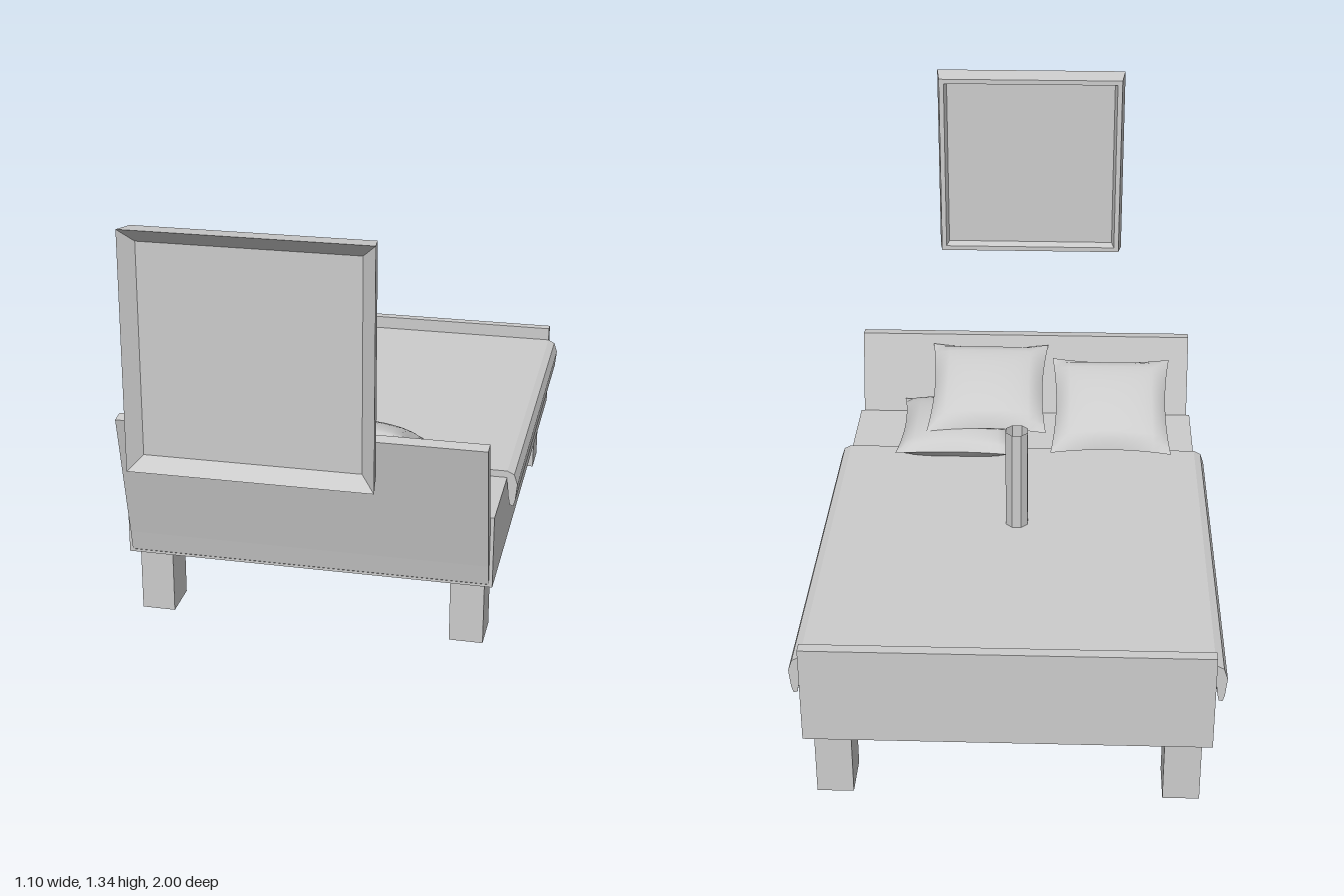
import * as THREE from 'three';

const smooth = new THREE.MeshStandardMaterial({ color: 0xcccccc, side: THREE.DoubleSide });
const flat = new THREE.MeshStandardMaterial({ color: 0xcccccc, side: THREE.DoubleSide, flatShading: true });

// Extrudes a (z, y) side profile along x, centred
function sideExtrude(points, width) {
  const shape = new THREE.Shape(points.map(([z, y]) => new THREE.Vector2(-z, y)));
  return new THREE.ExtrudeGeometry(shape, { depth: width, bevelEnabled: false })
    .translate(0, 0, -width / 2).rotateY(Math.PI / 2);
}

// One domed half of a cushion with pinched edges and pointed corners
function cushionHalf(half, height) {
  const geo = new THREE.PlaneGeometry(2, 2, 14, 14).rotateX(-Math.PI / 2);
  const p = geo.attributes.position;
  for (let i = 0; i < p.count; i++) {
    const u = p.getX(i), v = p.getZ(i);
    const a = Math.max(0, 1 - u * u), b = Math.max(0, 1 - v * v);
    p.setXYZ(i, half * u * (1 - 0.08 * b * u * u), height * Math.pow(a * b, 0.45), half * v * (1 - 0.08 * a * v * v));
  }
  geo.computeVertexNormals();
  return geo;
}

export function createModel() {
  const model = new THREE.Group();
  function add(name, geo, mat = flat, x = 0, y = 0, z = 0, parent = model) {
    const mesh = new THREE.Mesh(geo, mat);
    mesh.name = name;
    mesh.position.set(x, y, z);
    parent.add(mesh);
    return mesh;
  }

  // Bed body and boards
  add('bedBase', new THREE.BoxGeometry(1.04, 0.21, 1.37), flat, 0, 0.295, -0.285);
  add('footboard', new THREE.BoxGeometry(1.04, 0.27, 0.03), flat, 0, 0.325, -0.985);
  add('headboard', sideExtrude([
    [0.39, 0.19], [0.403, 0.2], [0.415, 0.26], [0.5, 0.637], [0.462, 0.642], [0.4, 0.39],
  ], 1.02));

  // Blanket draped over both sides
  const right = [[0.52, 0.42], [0.54, 0.41], [0.55, 0.38], [0.545, 0.33], [0.54, 0.313], [0.53, 0.315], [0.525, 0.34], [0.52, 0.39]];
  const left = right.map(([x, y]) => [-x, y]).reverse();
  const drape = new THREE.Shape([...right, ...left].map(([x, y]) => new THREE.Vector2(x, y)));
  add('blanket', new THREE.ExtrudeGeometry(drape, { depth: 1.1, bevelEnabled: false }), flat, 0, 0, -0.97);

  // Hollow square legs
  const leg = new THREE.CylinderGeometry(Math.SQRT1_2, Math.SQRT1_2, 1, 4, 1, true, Math.PI / 4).scale(0.095, 0.19, 0.118);
  for (const x of [-0.448, 0.448])
    for (const z of [0.317, -0.91]) add('leg', leg, flat, x, 0.095, z);

  // Round hollow pedestal under the bed
  const pedestal = new THREE.Group();
  pedestal.name = 'pedestal';
  model.add(pedestal);
  const wall = (r) => new THREE.CylinderGeometry(r, r, 0.2, 18, 1, true);
  add('pedestalOuterWall', wall(0.333), smooth, 0, 0.1, -0.295, pedestal);
  add('pedestalInnerWall', wall(0.3), smooth, 0, 0.1, -0.295, pedestal);
  add('pedestalRim', new THREE.RingGeometry(0.3, 0.333, 18).rotateX(Math.PI / 2).rotateY(Math.PI / 2), flat, 0, 0, -0.295, pedestal);

  // Open upright tube
  add('post', new THREE.CylinderGeometry(0.033, 0.033, 0.31, 8, 1, true, Math.PI / 8), flat, 0, 0.557, -0.3);

  // Square wall picture: a four-sided turned profile, recessed front and back
  const profile = [[0, 0.955], [0.272, 0.955], [0.28, 0.927], [0.295, 0.927], [0.305, 1], [0.27, 0.97], [0, 0.97]]
    .map(([r, z]) => new THREE.Vector2(r * Math.SQRT2, z));
  add('wallFrame', new THREE.LatheGeometry(profile, 4, Math.PI / 4).rotateX(Math.PI / 2), flat, 0, 1.03, 0);

  // Cushions: position and backward tilt
  const half = cushionHalf(0.18, 0.05);
  const cushions = [
    [-0.267, 0.525, 0.218, 0.45],
    [0.197, 0.445, 0.22, 0],
    [0.108, 0.55, 0.278, 0.38],
  ];
  for (const [x, y, z, tilt] of cushions) {
    const cushion = new THREE.Group();
    cushion.name = 'cushion';
    cushion.position.set(x, y, z);
    cushion.rotation.x = -tilt;
    add('cushionTop', half, smooth, 0, 0, 0, cushion);
    add('cushionBottom', half, smooth, 0, 0, 0, cushion).rotation.z = Math.PI;
    model.add(cushion);
  }
  return model;
}
